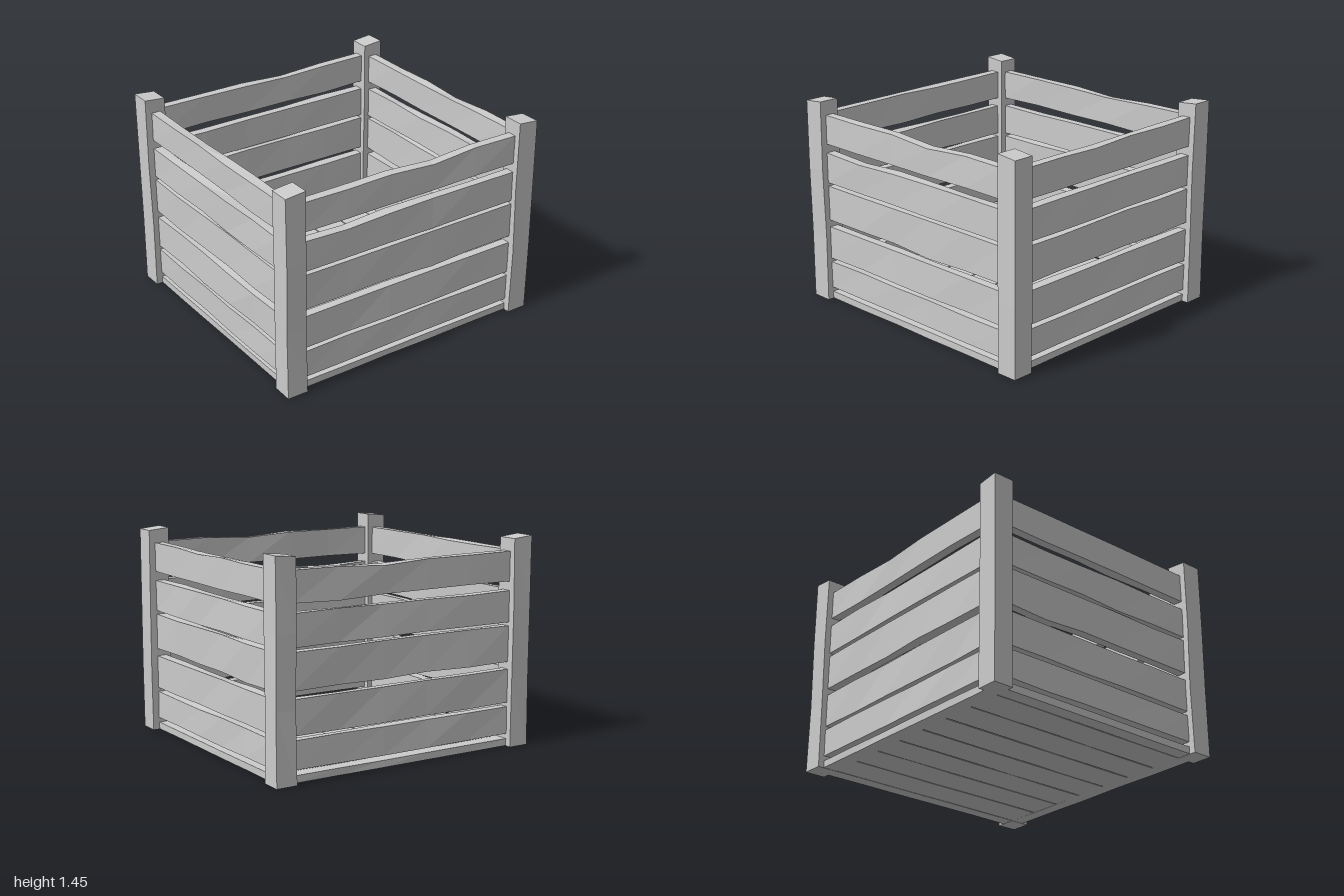
import * as THREE from 'three';

const material = new THREE.MeshStandardMaterial({ color: 0xcccccc, flatShading: true });

// Repeatable value in -1..1
const noise = (a, b, c) => {
  const s = Math.sin(a * 127.1 + b * 311.7 + c * 74.7) * 43758.5453;
  return (s - Math.floor(s)) * 2 - 1;
};

let seed = 0;

// Rough-sawn board running along local x; kinks = [station, edge (1 top, -1 bottom), offset]
function board(name, length, height, depth, segments, wobbleY, wobbleZ, kinks = []) {
  const id = ++seed;
  const geo = new THREE.BoxGeometry(length, height, depth, segments, 1, 1);
  const p = geo.attributes.position;
  for (let i = 0; i < p.count; i++) {
    const station = Math.round((p.getX(i) / length + 0.5) * segments);
    const up = Math.sign(p.getY(i)), side = Math.sign(p.getZ(i));
    const corner = up * 2 + side;
    const inner = station > 0 && station < segments ? 1 : 0.2;
    let dy = noise(id, station, corner) * wobbleY * inner;
    const dz = noise(id + 50, station, corner) * wobbleZ * inner;
    for (const [s, edge, offset] of kinks) if (s === station && edge === up) dy += offset;
    p.setY(i, p.getY(i) + dy);
    p.setZ(i, p.getZ(i) + dz);
  }
  geo.computeVertexNormals();
  const mesh = new THREE.Mesh(geo, material);
  mesh.name = name;
  return mesh;
}

// Bottom and top of each wall slat
const rows = [[0.087, 0.278], [0.307, 0.54], [0.592, 0.84], [0.866, 1.082], [1.145, 1.35]];

// Strongest bends of the slats on each wall, by row
const bends = {
  front: { 2: [[3, -1, -0.018]], 3: [[1, 1, -0.012]], 4: [[3, 1, -0.02]] },
  back: { 2: [[3, -1, 0.006]], 4: [[2, 1, -0.018], [1, -1, -0.008]] },
  left: { 0: [[1, -1, 0.008]], 2: [[4, -1, -0.014]], 4: [[2, 1, -0.01]] },
  right: { 2: [[1, -1, -0.012]], 3: [[3, -1, -0.006]] },
};

function wall(name, length, distance, angle) {
  const group = new THREE.Group();
  group.name = name + 'Wall';
  rows.forEach(([y0, y1], r) => {
    const slat = board(name + 'Slat', length, y1 - y0, 0.065, 5, 0.005, 0.005, bends[name][r]);
    slat.position.set(0, (y0 + y1) / 2, distance);
    group.add(slat);
  });
  // Bottom rail carrying the floor edge
  const rail = board(name + 'Rail', length, 0.05, 0.1, 5, 0.002, 0.002);
  rail.position.set(0, 0.027, distance - 0.02);
  group.add(rail);
  group.rotation.y = angle;
  return group;
}

export function createModel() {
  const model = new THREE.Group();
  model.name = 'woodenCrate';

  // Corner posts, standing boards
  for (const sx of [-1, 1]) for (const sz of [-1, 1]) {
    const post = board('cornerPost', 1.445, 0.148, 0.148, 3, 0.006, 0.006);
    const p = post.geometry.attributes.position;
    for (let i = 0; i < p.count; i++) {
      // Slightly uneven sawn top
      if (p.getX(i) > 0.7) {
        p.setX(i, p.getX(i) + 0.007 * sx * Math.sign(p.getY(i)) * sz);
      }
    }
    post.geometry.computeVertexNormals();
    post.rotation.z = Math.PI / 2;
    post.position.set(sx * 0.925, 0.7225, sz * 0.873);
    model.add(post);
  }

  // Four slatted walls
  model.add(
    wall('front', 1.705, 0.872, 0),
    wall('back', 1.705, 0.872, Math.PI),
    wall('left', 1.605, 0.922, Math.PI / 2),
    wall('right', 1.605, 0.922, -Math.PI / 2),
  );

  // Floor planks running front to back
  const floor = new THREE.Group();
  floor.name = 'floor';
  for (let i = 0; i < 7; i++) {
    const plank = board('floorPlank', 1.61, 0.05, 0.234, 5, 0.001, 0.003);
    plank.rotation.y = Math.PI / 2;
    plank.position.set((i - 3) * 0.243, 0.027, 0);
    floor.add(plank);
  }
  model.add(floor);
  return model;
}
